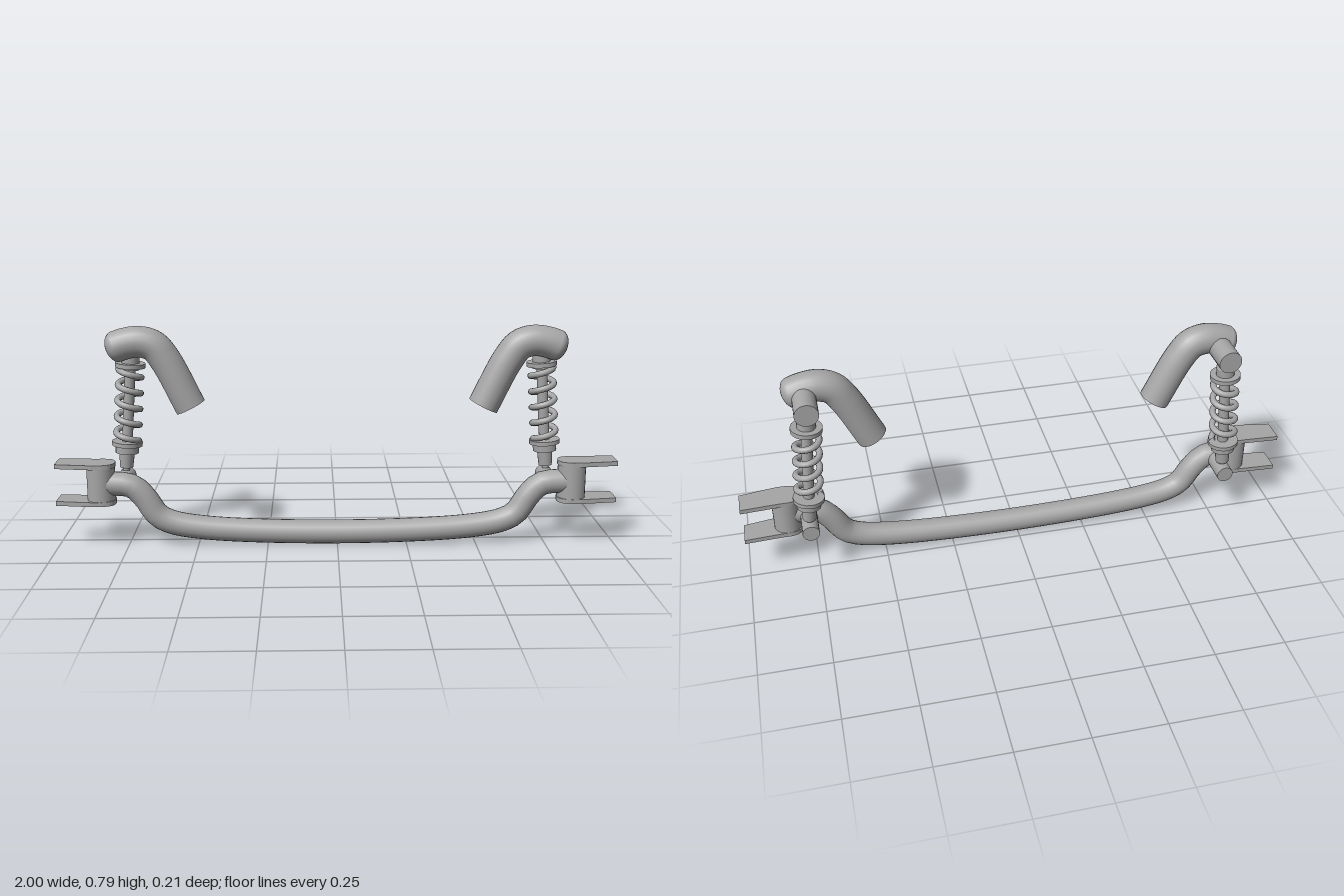
import * as THREE from 'three';

const metal = new THREE.MeshStandardMaterial({ color: 0xa6a6a6, side: THREE.DoubleSide });
metal.name = 'grey metal';

function add(parent, name, geometry, x = 0, y = 0, z = 0) {
  const mesh = new THREE.Mesh(geometry, metal);
  mesh.name = name;
  mesh.position.set(x, y, z);
  parent.add(mesh);
  return mesh;
}

// Upright cylinder between two heights
function post(parent, name, y0, y1, rBottom, rTop, sides = 24) {
  return add(parent, name, new THREE.CylinderGeometry(rTop, rBottom, y1 - y0, sides), 0, (y0 + y1) / 2, 0);
}

// Smooth path in the xy plane at a given depth
function path(points, z) {
  return new THREE.CatmullRomCurve3(points.map(([x, y]) => new THREE.Vector3(x, y, z)), false, 'centripetal');
}

// Coil spring around the local y axis
class Helix extends THREE.Curve {
  constructor(radius, y0, y1, turns) {
    super();
    Object.assign(this, { radius, y0, y1, turns });
  }
  getPoint(t, target = new THREE.Vector3()) {
    const a = t * this.turns * Math.PI * 2 + Math.PI;
    return target.set(Math.cos(a) * this.radius, this.y0 + (this.y1 - this.y0) * t, -Math.sin(a) * this.radius);
  }
}

function createShock() {
  const shock = new THREE.Group();
  shock.name = 'coilShock';
  post(shock, 'lowerPin', -0.02, 0.025, 0.012, 0.012);
  post(shock, 'lowerCup', 0.02, 0.078, 0.024, 0.028);
  post(shock, 'lowerCollar', 0.075, 0.104, 0.043, 0.043, 12);
  post(shock, 'lowerSpringSeat', 0.102, 0.117, 0.055, 0.055);
  post(shock, 'damperRod', 0.11, 0.41, 0.019, 0.019);
  post(shock, 'upperCollar', 0.381, 0.39, 0.034, 0.034);
  post(shock, 'upperSpringSeat', 0.389, 0.405, 0.054, 0.054);
  post(shock, 'upperCap', 0.403, 0.435, 0.032, 0.032);
  post(shock, 'upperCapTaper', 0.435, 0.448, 0.032, 0.024);
  add(shock, 'spring', new THREE.TubeGeometry(new Helix(0.041, 0.122, 0.384, 4.5), 110, 0.0115, 10));
  shock.position.set(0.767, 0.25, -0.048);
  shock.rotation.z = 0.075;
  return shock;
}

// Yoke plate: round at the kingpin, tapering and swept back to its tip
function plateGeometry() {
  const s = new THREE.Shape();
  s.moveTo(1, 0.007);
  s.lineTo(1, -0.08);
  s.lineTo(0.87, -0.1);
  s.lineTo(0.835, -0.1);
  s.quadraticCurveTo(0.79, -0.095, 0.79, -0.05);
  s.quadraticCurveTo(0.79, -0.003, 0.835, 0);
  s.lineTo(0.87, 0);
  s.closePath();
  const g = new THREE.ExtrudeGeometry(s, { depth: 0.016, bevelEnabled: false, curveSegments: 8 });
  g.rotateX(-Math.PI / 2);
  return g;
}

function createSide() {
  const side = new THREE.Group();

  // Steering yoke
  add(side, 'kingpin', new THREE.CylinderGeometry(0.05, 0.05, 0.122, 24), 0.842, 0.238, 0.05);
  const plate = plateGeometry();
  add(side, 'upperYokePlate', plate, 0, 0.297, 0);
  add(side, 'lowerYokePlate', plate, 0, 0.162, 0);

  // Hooked upper arm, open at the lower end and rounded at the outer end
  const arm = path([[0.515, 0.514], [0.598, 0.68], [0.638, 0.73], [0.685, 0.745], [0.735, 0.739], [0.768, 0.728]], 0.055);
  add(side, 'upperArm', new THREE.TubeGeometry(arm, 28, 0.055, 20));
  const cap = new THREE.SphereGeometry(0.055, 20, 8, 0, Math.PI * 2, 0, Math.PI / 2);
  cap.scale(1, 0.65, 1);
  const end = add(side, 'upperArmEnd', cap);
  end.position.copy(arm.getPoint(1));
  end.quaternion.setFromUnitVectors(new THREE.Vector3(0, 1, 0), arm.getTangent(1));

  // Mounting stubs for the shock
  const upperStub = new THREE.CylinderGeometry(0.041, 0.041, 0.125, 24).rotateX(Math.PI / 2);
  add(side, 'upperMount', upperStub, 0.732, 0.726, -0.0325);
  const lowerStub = new THREE.CylinderGeometry(0.03, 0.03, 0.12, 20).rotateX(Math.PI / 2);
  add(side, 'lowerMount', lowerStub, 0.767, 0.23, -0.027);

  side.add(createShock());
  return side;
}

export function createModel() {
  const model = new THREE.Group();
  model.name = 'frontAxle';

  // Dropped axle beam, from one kingpin to the other
  const half = [[0.82, 0.236], [0.735, 0.226], [0.69, 0.185], [0.645, 0.118], [0.6, 0.092], [0.47, 0.068]];
  const points = [...half.map(([x, y]) => [-x, y]), [0, 0.05], ...half.slice().reverse()];
  add(model, 'axleBeam', new THREE.TubeGeometry(path(points, 0.051), 64, 0.043, 20));

  const left = createSide();
  left.name = 'leftSuspension';
  const right = createSide();
  right.name = 'rightSuspension';
  right.scale.x = -1;
  model.add(left, right);
  return model;
}
